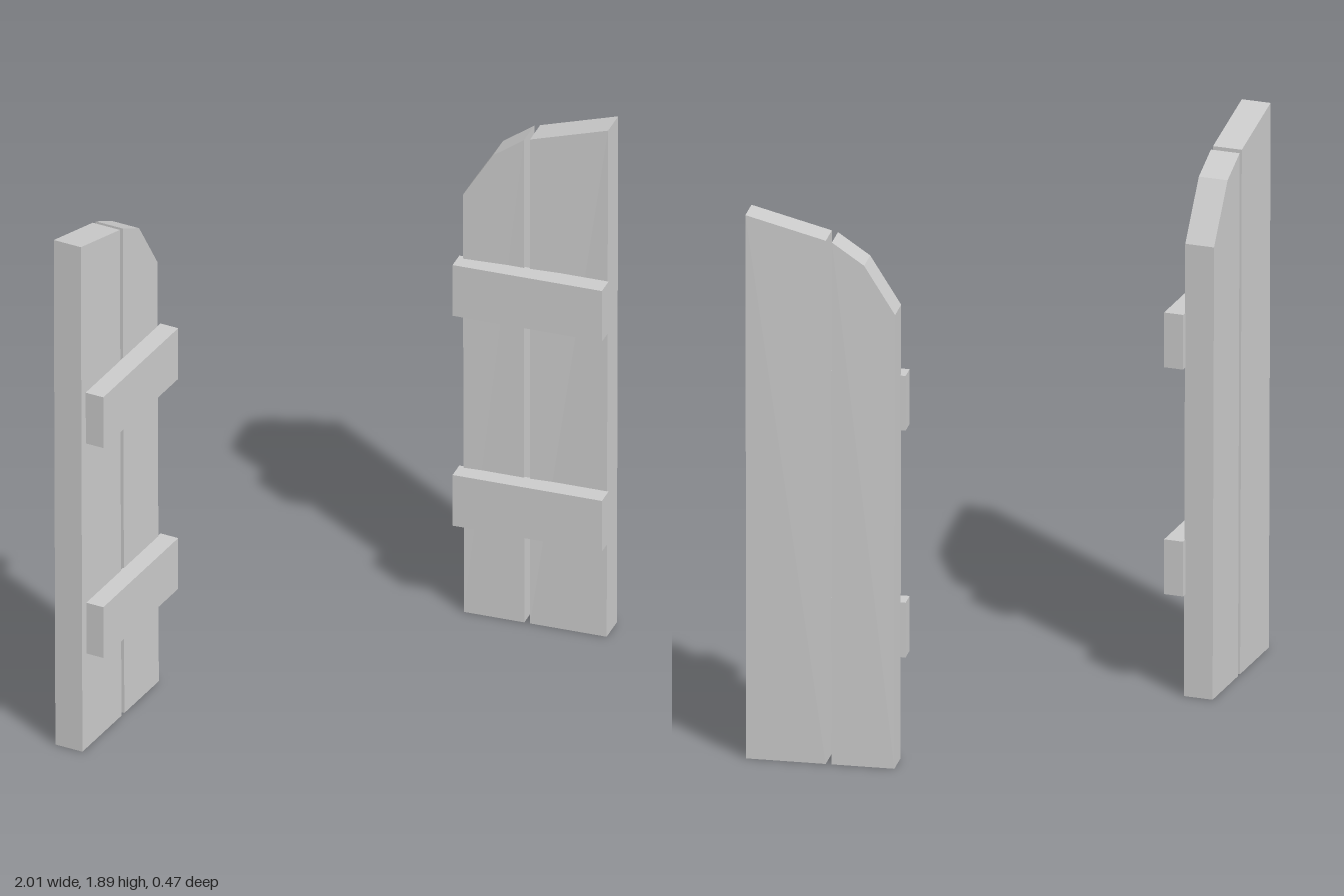
import * as THREE from 'three';

const HEIGHT = 1.89, THICK = 0.1;
const material = new THREE.MeshStandardMaterial({ color: 0xcccccc, flatShading: true });

// Plank cut from an outline; lean and twist drift it along its depth with height
function plank(name, outline, side, { lean, twist }) {
  const shape = new THREE.Shape(outline.map(([s, y]) => new THREE.Vector2(s * side, y)));
  const geometry = new THREE.ExtrudeGeometry(shape, { depth: THICK, bevelEnabled: false });
  geometry.translate(0, 0, -THICK);
  const p = geometry.attributes.position;
  for (let i = 0; i < p.count; i++) {
    const drift = (p.getY(i) / HEIGHT) * (lean + twist * Math.abs(p.getX(i)));
    p.setZ(i, p.getZ(i) + drift);
  }
  geometry.computeVertexNormals();
  const mesh = new THREE.Mesh(geometry, material);
  mesh.name = name;
  return mesh;
}

// Shutter with its origin at the outer front edge; side is the inward x direction
function shutter(name, o) {
  const group = new THREE.Group();
  group.name = name;
  const { side, outerEnd, innerStart, arch, batten } = o;

  group.add(plank('outerPlank',
    [[0, 0], [outerEnd, 0], [outerEnd, arch[0][1] + 0.005], [0, HEIGHT]], side, o));

  const innerEnd = arch[arch.length - 1][0];
  group.add(plank('innerPlank',
    [[innerStart, 0], [innerEnd, 0], ...[...arch].reverse()], side, o));

  // Two cross battens on the front
  const [from, to] = batten;
  for (const [label, y] of [['lowerBatten', 0.448], ['upperBatten', 1.235]]) {
    const mesh = new THREE.Mesh(new THREE.BoxGeometry(to - from, 0.19, 0.066), material);
    mesh.position.set(side * (from + to) / 2, y, 0.028);
    mesh.name = label;
    group.add(mesh);
  }

  group.position.set(o.x, 0, o.z);
  group.rotation.y = o.yaw;
  return group;
}

export function createModel() {
  const model = new THREE.Group();
  model.name = 'shutters';
  model.add(
    shutter('rightShutter', {
      side: 1, x: -0.94, z: 0.16, yaw: 0.651, lean: -0.006, twist: 0,
      outerEnd: 0.268, innerStart: 0.288, batten: [0.03, 0.545],
      arch: [[0.288, 1.815], [0.4, 1.76], [0.525, 1.57]],
    }),
    shutter('leftShutter', {
      side: -1, x: 0.925, z: 0.18, yaw: -0.764, lean: -0.014, twist: 0.057,
      outerEnd: 0.264, innerStart: 0.284, batten: [-0.005, 0.51],
      arch: [[0.284, 1.81], [0.39, 1.735], [0.492, 1.57]],
    }),
  );
  return model;
}
